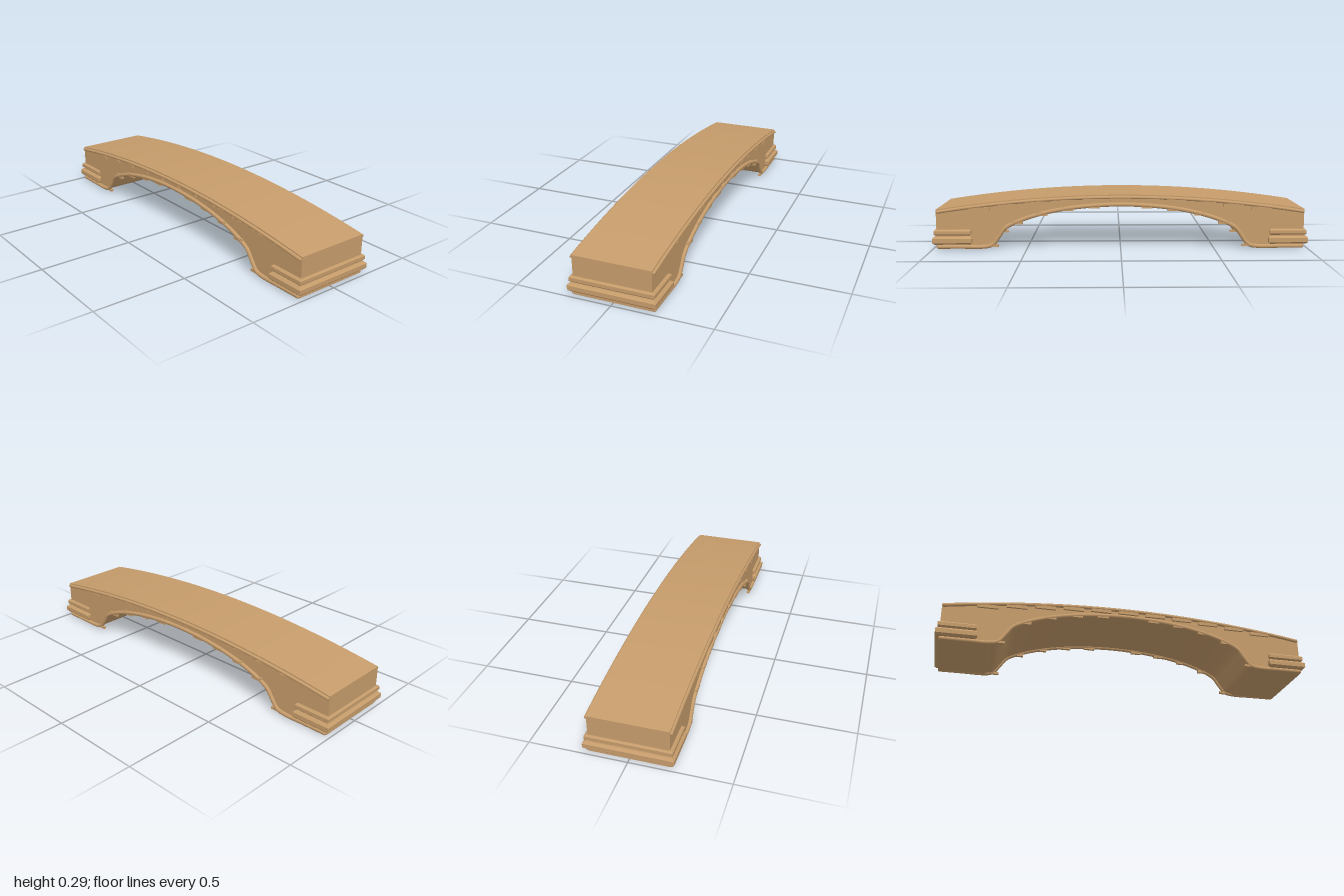
import * as THREE from 'three';
import { toCreasedNormals } from 'three/addons/utils/BufferGeometryUtils.js';

const HALF_WIDTH = 0.2;
const END = 0.98;

// Height of the cambered deck at a given z
const deckY = (z) => 0.212 + 0.078 * (1 - (z / END) ** 2);

// Half of the underside as [z, y], from the foot to the crown
const underside = [
  [0.97, 0.012], [0.85, 0.012], [0.73, 0.012], [0.685, 0.022], [0.65, 0.065],
  [0.615, 0.112], [0.54, 0.151], [0.42, 0.19], [0.25, 0.222], [0, 0.238],
];
const fullUnderside = [
  ...underside,
  ...underside.slice(0, -1).reverse().map(([z, y]) => [-z, y]),
];

export function createModel() {
  const model = new THREE.Group();
  const stone = new THREE.MeshStandardMaterial({ color: 0xc69c6b });
  stone.name = 'sandstone';

  const add = (name, geometry, parent = model) => {
    const mesh = new THREE.Mesh(geometry, stone);
    mesh.name = name;
    parent.add(mesh);
    return mesh;
  };

  const archCurve = new THREE.CatmullRomCurve3(
    fullUnderside.map(([z, y]) => new THREE.Vector3(0, y, z)));
  const railCurve = new THREE.CatmullRomCurve3(
    Array.from({ length: 25 }, (_, i) => {
      const z = 0.97 * (1 - i / 12);
      return new THREE.Vector3(0, deckY(z) - 0.014, z);
    }));

  // Solid span: curved deck above, arch opening below
  const profile = new THREE.Shape();
  profile.moveTo(END, 0.005);
  for (let i = 0; i <= 40; i++) {
    const z = END * (1 - i / 20);
    profile.lineTo(z, deckY(z));
  }
  profile.lineTo(-END, 0.005);
  profile.lineTo(-0.73, 0.005);
  archCurve.getPoints(110).reverse()
    .filter((p) => Math.abs(p.z) < 0.715)
    .forEach((p) => profile.lineTo(p.z, p.y));
  profile.lineTo(0.73, 0.005);
  const span = new THREE.ExtrudeGeometry(profile, { depth: HALF_WIDTH * 2, bevelEnabled: false });
  span.translate(0, 0, -HALF_WIDTH);
  span.rotateY(-Math.PI / 2);
  add('span', toCreasedNormals(span, 0.4));

  // Moulding with chamfered edges wrapped round each abutment
  const band = (name, halfX, z0, z1, y0, y1, bevel) => {
    const shape = new THREE.Shape();
    const x = halfX - bevel, a = z0 + bevel, b = z1 - bevel;
    shape.moveTo(-x, -b);
    shape.lineTo(x, -b);
    shape.lineTo(x, -a);
    shape.lineTo(-x, -a);
    const geometry = new THREE.ExtrudeGeometry(shape, {
      depth: y1 - y0 - 2 * bevel, bevelThickness: bevel, bevelSize: bevel, bevelSegments: 1,
    });
    geometry.rotateX(-Math.PI / 2);
    geometry.translate(0, y0 + bevel, 0);
    return add(name, geometry);
  };
  for (const end of [1, -1]) {
    const label = end > 0 ? 'front' : 'back';
    const lower = band(label + 'LowerBand', 0.224, 0.79, 1, 0.025, 0.068, 0.01);
    const upper = band(label + 'UpperBand', 0.216, 0.795, 0.992, 0.073, 0.105, 0.007);
    if (end < 0) lower.rotation.y = upper.rotation.y = Math.PI;
  }

  // Round trims and raised blocks on both flanks
  for (const side of [1, -1]) {
    const flank = new THREE.Group();
    flank.name = side > 0 ? 'leftFlank' : 'rightFlank';
    flank.position.x = side * 0.204;
    model.add(flank);

    const trim = (name, curve, segments, radius) => {
      add(name, new THREE.TubeGeometry(curve, segments, radius, 10), flank);
      for (const t of [0, 1]) {
        add(name + 'End', new THREE.SphereGeometry(radius, 10, 8), flank)
          .position.copy(curve.getPoint(t));
      }
    };
    trim('deckTrim', railCurve, 48, 0.009);
    trim('archTrim', archCurve, 110, 0.011);

    // Level blocks stepping up below the deck trim
    for (let i = -5; i <= 5; i++) {
      const z = i * 0.15;
      add('deckBlock', new THREE.BoxGeometry(0.014, 0.018, 0.11), flank)
        .position.set(0, deckY(z) - 0.028, z);
    }

    // Short blocks along the arch trim and at its springing
    for (const z of [0.14, 0.28, 0.42, 0.55, 0.68]) {
      const i = underside.findIndex((p) => p[0] <= z);
      const [z0, y0] = underside[i - 1], [z1, y1] = underside[i];
      const y = y0 + (y1 - y0) * (z - z0) / (z1 - z0);
      const foot = z > 0.6;
      for (const end of [1, -1]) {
        add(foot ? 'footBlock' : 'archBlock', new THREE.BoxGeometry(0.016, foot ? 0.012 : 0.018, 0.06), flank)
          .position.set(0, foot ? 0.018 : y - 0.003, end * z);
      }
    }
  }

  return model;
}
